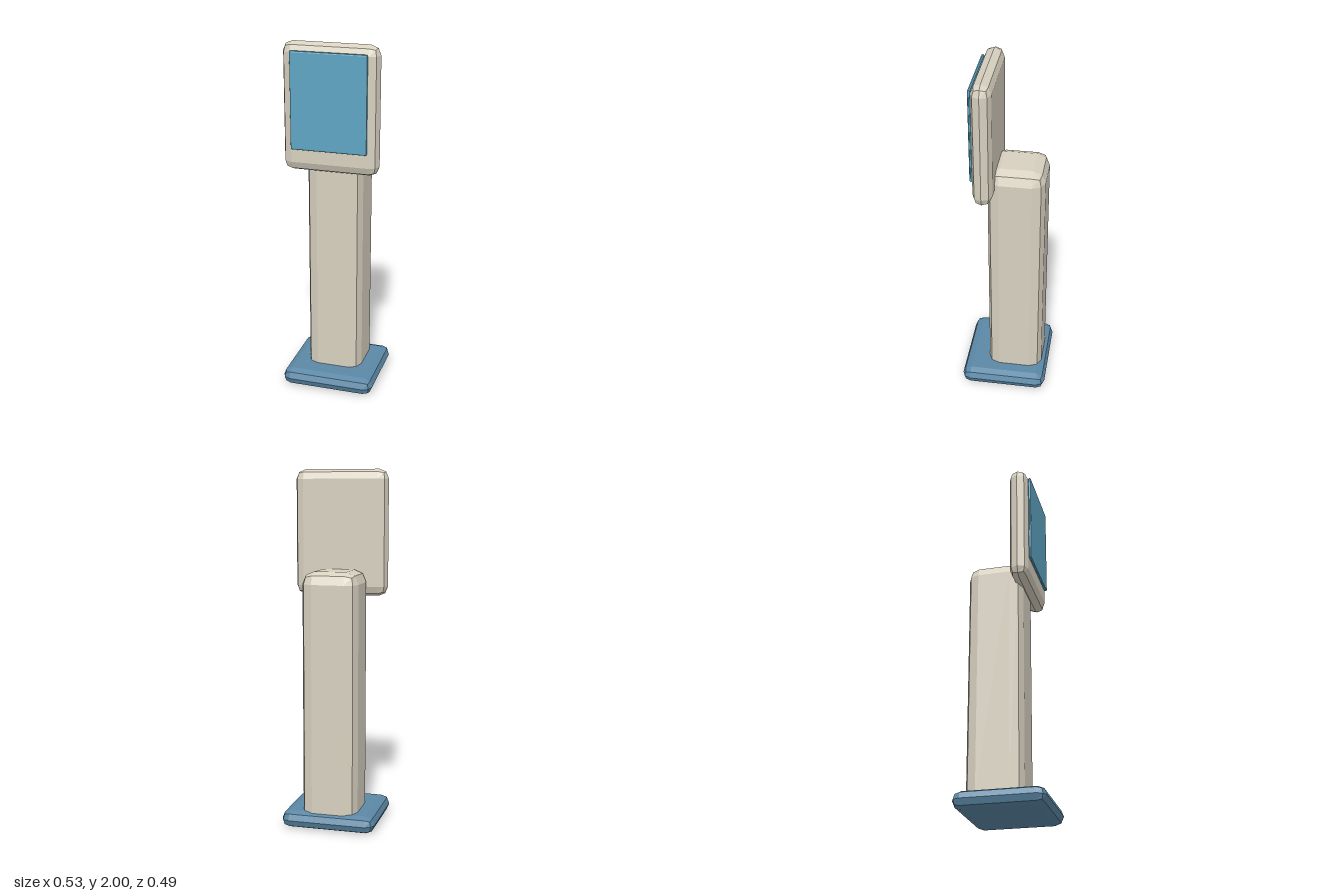
import * as THREE from 'three';
import { RoundedBoxGeometry } from 'three/addons/geometries/RoundedBoxGeometry.js';

// Faceted rounded box given by its min and max corners
function roundedPart(name, min, max, radius, color) {
  const size = max.map((v, i) => v - min[i]);
  const geometry = new RoundedBoxGeometry(...size, 1, radius);
  geometry.computeVertexNormals(); // non-indexed, so this gives flat facets
  const material = new THREE.MeshStandardMaterial({ color, flatShading: true });
  const mesh = new THREE.Mesh(geometry, material);
  mesh.name = name;
  mesh.position.set(...max.map((v, i) => (v + min[i]) / 2));
  return mesh;
}

export function createModel() {
  const group = new THREE.Group();
  group.name = 'kiosk';
  const beige = 0xd8d1c0;

  group.add(
    // Foot plate
    roundedPart('base', [-0.267, 0, -0.247], [0.267, 0.098, 0.247], 0.049, 0x5b88a6),
    // Column, its rounded lower end sunk into the base
    roundedPart('pillar', [-0.158, 0.02, -0.212], [0.158, 1.446, 0.104], 0.068, beige),
    // Display housing and the thin panel on its front
    roundedPart('displayHousing', [-0.267, 1.295, 0.055], [0.267, 2, 0.163], 0.054, beige),
    roundedPart('screen', [-0.212, 1.423, 0.162], [0.212, 1.958, 0.179], 0.008, 0x60a6c4),
  );
  return group;
}
